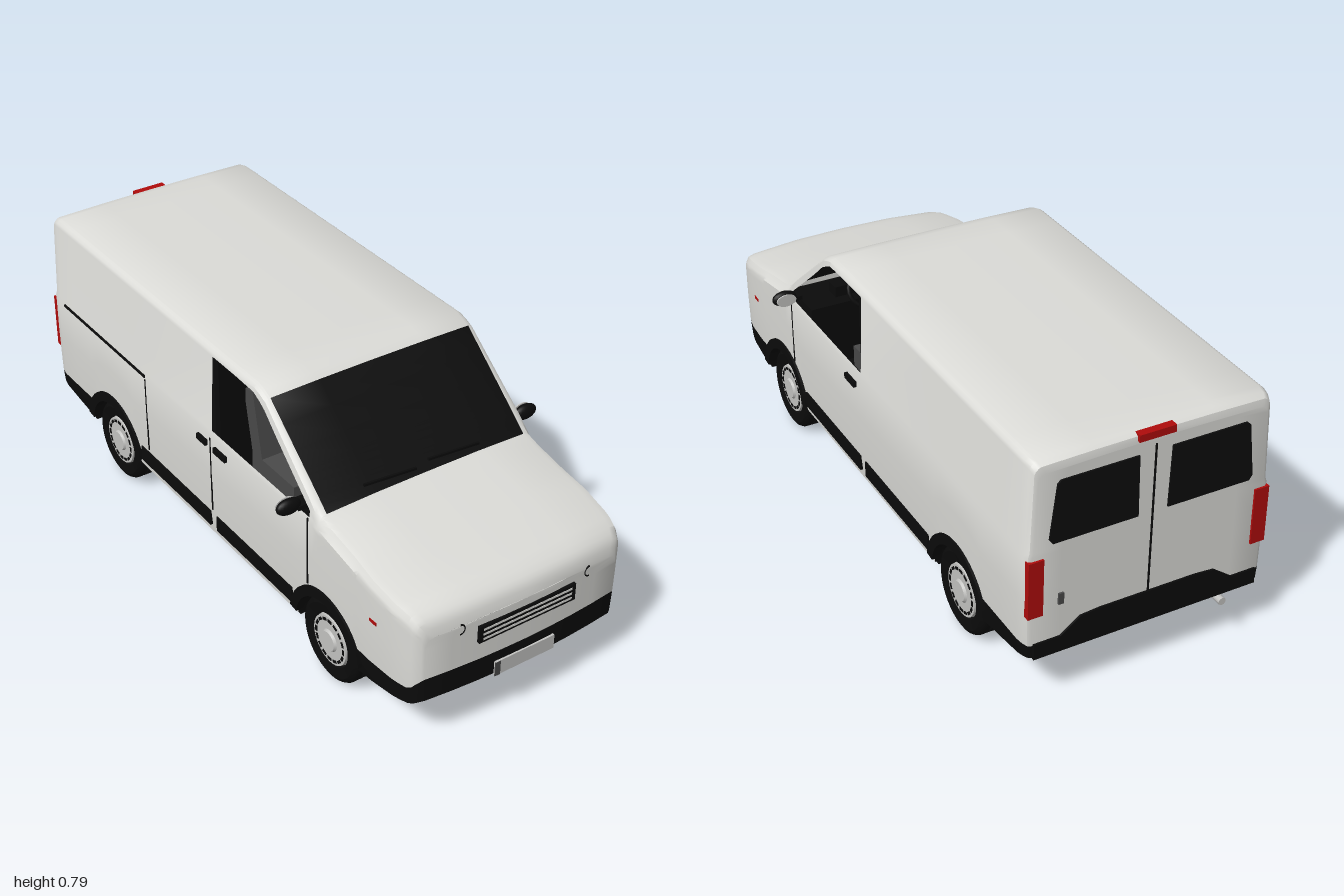
import * as THREE from 'three';
import { toCreasedNormals } from 'three/addons/utils/BufferGeometryUtils.js';

const mat = (name, color, side = THREE.FrontSide) => {
  const m = new THREE.MeshStandardMaterial({ color, side });
  m.name = name;
  return m;
};
const D = THREE.DoubleSide;
const paint = mat('white paint', 0xdcdcd8, D), black = mat('black plastic', 0x0b0b0b, D),
  glass = mat('dark glass', 0x0d0d0d, D), red = mat('red lens', 0xb00c0c),
  silver = mat('silver', 0xc4c4c2), grey = mat('grey fabric', 0x4a4a4a);

// Piecewise linear lookup in [[t, value], ...]
const lerpTable = (table, t) => {
  if (t <= table[0][0]) return table[0][1];
  for (let i = 1; i < table.length; i++) {
    const [a, va] = table[i - 1], [b, vb] = table[i];
    if (t <= b) return va + (vb - va) * (t - a) / (b - a);
  }
  return table[table.length - 1][1];
};

const AXLES = [-0.603, 0.593], HUB_Y = 0.135, ARCH_R = 0.148;
const TOP = [[-0.985, 0.755], [-0.98, 0.775], [-0.965, 0.785], [-0.94, 0.79], [0.22, 0.79], [0.27, 0.775],
  [0.55, 0.545], [0.6, 0.535], [0.93, 0.475], [0.96, 0.465], [0.985, 0.445], [0.995, 0.425], [1, 0.4]];
const WIDTH = [[-0.985, 0.95], [-0.98, 0.975], [-0.965, 0.99], [-0.94, 1], [0.8, 1], [0.9, 0.985],
  [0.95, 0.965], [0.985, 0.925], [1, 0.87]];
const SIDE = [[0.135, 0.366], [0.215, 0.373], [0.3, 0.376], [0.42, 0.377], [0.5, 0.376], [0.515, 0.371], [0.77, 0.361]];
const BASE = [[-0.985, 0.175], [-0.76, 0.135], [0.75, 0.135], [0.97, 0.16], [1, 0.18]];

const bulge = (x, z) => z - 0.025 * (x / 0.37) ** 2 * THREE.MathUtils.clamp((z - 0.8) / 0.2, 0, 1);

// Half cross-section from the sill up to the roof centre line
function section(z) {
  const t = lerpTable(TOP, z), w = lerpTable(WIDTH, z), k = lerpTable([[0.5, 1], [0.6, 2]], z);
  let b = lerpTable(BASE, z);
  for (const a of AXLES) {
    const d = Math.abs(z - a);
    if (d < ARCH_R) b = Math.max(b, HUB_Y + Math.sqrt(ARCH_R ** 2 - d * d));
  }
  const trim = Math.max(b + 0.01, lerpTable([[0.97, 0.215], [1, 0.255]], z));
  const win = Math.min(0.765, t - lerpTable([[0.2, 0.025], [0.3, 0.04]], z));
  const belt = Math.min(0.515, win - 0.002), xr = lerpTable(SIDE, t);
  const rows = [b, trim, (trim + belt) / 2, belt - 0.015, belt, win].map(y => [lerpTable(SIDE, y), y]);
  rows.push([xr - 0.003, t - 0.015 * k], [xr - 0.012, t - 0.007 * k], [0.342, t - 0.004 * k], [0.18, t - 0.001], [0, t]);
  return rows.map(([x, y]) => [x * w, y]);
}

// Body shell lofted along z, with open cab windows and wheel arches
function bodyShell() {
  const zs = [-0.985, -0.98, -0.965, -0.94, -0.85, 0.005, 0.12, 0.22, 0.25, 0.277, 0.34, 0.4, 0.51, 0.55,
    0.8, 0.86, 0.9, 0.93, 0.96, 0.975, 0.985, 0.995, 1];
  for (const a of AXLES) for (let k = 0; k <= 14; k++) zs.push(a + ARCH_R * Math.cos(k * Math.PI / 14));
  zs.sort((p, q) => p - q);
  const pos = [], parts = [[], [], []]; // paint, black, glass
  const quad = (m, a, b, c, d) => parts[m].push(a, b, d, b, c, d);
  const N = 21;
  for (const z of zs) {
    const s = section(z);
    const ring = [...s, ...s.slice(0, -1).reverse().map(([x, y]) => [-x, y])];
    for (const [x, y] of ring) pos.push(x, y, bulge(x, z));
  }
  for (let c = 0; c < zs.length - 1; c++) {
    const mid = (zs[c] + zs[c + 1]) / 2;
    for (let i = 0; i < N; i++) {
      const row = i < 10 ? i : 19 - i;
      if (row === 4 && mid > 0.005 && mid < 0.51) continue;
      let m = 0;
      if (i === 20 || (row === 0 && (mid > 0.76 || mid < -0.77))) m = 1;
      else if (row >= 8 && mid > 0.277 && mid < 0.55) m = 2;
      const j = (i + 1) % N;
      quad(m, c * N + i, c * N + j, (c + 1) * N + j, (c + 1) * N + i);
    }
  }
  // Nose and tail faces
  for (const z of [zs[0], zs[zs.length - 1]]) {
    const start = pos.length / 3, s = section(z);
    for (const [x, y] of s) for (let t = 0; t <= 8; t++) {
      const px = x * (1 - t / 4);
      pos.push(px, y, bulge(px, z));
    }
    for (let r = 0; r < 10; r++) for (let t = 0; t < 8; t++) {
      const a = start + r * 9 + t, m = r === 0 ? 1 : 0;
      if (z > 0) quad(m, a, a + 9, a + 10, a + 1);
      else quad(m, a, a + 1, a + 10, a + 9);
    }
  }
  const g = new THREE.BufferGeometry();
  g.setAttribute('position', new THREE.Float32BufferAttribute(pos, 3));
  g.setIndex(parts.flat());
  let at = 0;
  parts.forEach((p, m) => { g.addGroup(at, p.length, m); at += p.length; });
  return toCreasedNormals(g, 0.6);
}

export function createModel() {
  const van = new THREE.Group();
  van.name = 'van';
  const add = (name, geo, m, x = 0, y = 0, z = 0, parent = van) => {
    const mesh = new THREE.Mesh(geo, m);
    mesh.name = name;
    mesh.position.set(x, y, z);
    parent.add(mesh);
    return mesh;
  };
  const box = (name, m, [w, h, d], [x, y, z], parent) => add(name, new THREE.BoxGeometry(w, h, d), m, x, y, z, parent);
  const poly = pts => new THREE.Shape(pts.map(p => new THREE.Vector2(...p)));
  // Side-profile shape (z, y) extruded across x
  const across = (shape, width) => new THREE.ExtrudeGeometry(shape, { depth: width, bevelEnabled: false, curveSegments: 20 })
    .translate(0, 0, -width / 2).rotateY(-Math.PI / 2);
  const plate = (shape) => new THREE.ExtrudeGeometry(shape, { depth: 0.008, bevelEnabled: false });

  add('body', bodyShell(), [paint, black, glass]);

  // Underbody
  add('chassis', across(poly([[0.955, 0.175], [0.8, 0.135], [0.42, 0.105], [-0.6, 0.105], [-0.95, 0.16],
    [-0.95, 0.3], [0.93, 0.3]]), 0.53), black);
  box('sill', black, [0.69, 0.04, 0.86], [0, 0.125, -0.005]);
  box('silencer', black, [0.13, 0.045, 0.19], [-0.145, 0.0875, -0.575]);
  const bend = (pts) => new THREE.CatmullRomCurve3(pts.map(([y, z]) => new THREE.Vector3(-0.24, y, z)), false, 'catmullrom', 0.15);
  add('exhaustPipe', new THREE.TubeGeometry(bend([[0.09, -0.6], [0.088, -0.83], [0.145, -0.91], [0.15, -0.95]]), 24, 0.011, 10), black);
  add('exhaustTip', new THREE.CylinderGeometry(0.012, 0.012, 0.07, 12).rotateX(Math.PI / 2), silver, -0.24, 0.15, -0.965);

  // Wheels and arch trims
  const tyre = [[0.085, -0.038], [0.116, -0.042], [0.127, -0.036], [0.133, -0.026], [0.133, -0.012], [0.129, -0.01],
    [0.129, -0.006], [0.133, -0.004], [0.133, 0.004], [0.129, 0.006], [0.129, 0.01], [0.133, 0.012], [0.133, 0.026],
    [0.127, 0.036], [0.116, 0.042], [0.085, 0.036]].map(p => new THREE.Vector2(...p));
  const tyreGeo = toCreasedNormals(new THREE.LatheGeometry(tyre, 36).rotateZ(-Math.PI / 2), 0.6);
  const arch = new THREE.Shape();
  arch.absarc(0, 0, 0.17, 0.15, Math.PI - 0.15, false);
  arch.absarc(0, 0, 0.138, Math.PI - 0.15, 0.15, true);
  const archGeo = across(arch, 0.028);
  for (const z of AXLES) for (const s of [1, -1]) {
    const wheel = new THREE.Group();
    wheel.name = 'wheel';
    wheel.position.set(s * 0.322, 0.133, z);
    wheel.rotation.y = s > 0 ? 0 : Math.PI;
    van.add(wheel);
    add('tyre', tyreGeo, black, 0, 0, 0, wheel);
    add('hubcap', new THREE.CylinderGeometry(0.078, 0.09, 0.07, 32).rotateZ(-Math.PI / 2), silver, 0.003, 0, 0, wheel);
    add('hubCentre', new THREE.CylinderGeometry(0.03, 0.036, 0.008, 20).rotateZ(-Math.PI / 2), silver, 0.041, 0, 0, wheel);
    for (let k = 0; k < 16; k++) {
      const a = k * Math.PI / 8;
      box('hubSlot', black, [0.004, 0.009, 0.018], [0.0375, 0.066 * Math.cos(a), 0.066 * Math.sin(a)], wheel).rotation.x = a;
    }
    add('archTrim', archGeo, black, s * 0.368, HUB_Y, z);
  }

  // Parts on both sides
  for (const s of [1, -1]) {
    for (const [a, b] of [[0.02, 0.425], [-0.43, -0.015]])
      box('rubbingStrip', black, [0.012, 0.052, b - a], [s * 0.371, 0.19, (a + b) / 2]);
    box('doorHandle', black, [0.014, 0.018, 0.065], [s * 0.379, 0.465, 0.06]);
    box('doorSeam', black, [0.004, 0.225, 0.005], [s * 0.3757, 0.4, 0.507]);
    box('sideMarker', red, [0.008, 0.01, 0.03], [s * 0.373, 0.362, 0.815]);
    box('tailLight', red, [0.045, 0.18, 0.03], [s * 0.347, 0.4, -0.976]);
    const mirror = new THREE.SphereGeometry(0.04, 20, 14).scale(1, 0.62, 0.45);
    add('mirrorHousing', mirror, black, s * 0.413, 0.545, 0.47);
    add('mirrorGlass', new THREE.CylinderGeometry(0.032, 0.032, 0.004, 20).rotateX(Math.PI / 2).scale(1, 0.62, 1),
      silver, s * 0.413, 0.545, 0.453);
    box('mirrorArm', black, [0.035, 0.014, 0.02], [s * 0.372, 0.535, 0.475]);
    add('headlightMark', new THREE.TorusGeometry(0.016, 0.003, 6, 12, Math.PI).rotateZ(-Math.PI / 2).scale(s < 0 ? 1 : -1, 1, 1),
      grey, s * 0.222, 0.383, 0.99).material = black;
    // Rear door window with a slanted outer corner
    const x = [0.045, 0.3, 0.31, 0.29, 0.28, 0.05], y = [0.53, 0.53, 0.545, 0.71, 0.72, 0.72];
    add('rearWindow', plate(poly(x.map((v, i) => [s * v, y[i]]))), glass, 0, 0, -0.99);
    // Seat with backrest and headrest
    const seat = new THREE.Group();
    seat.name = 'seat';
    seat.position.set(s * 0.17, 0.4, 0.11);
    van.add(seat);
    box('seatCushion', grey, [0.2, 0.07, 0.22], [0, 0, 0.06], seat);
    box('seatBack', grey, [0.2, 0.25, 0.05], [0, 0.12, -0.04], seat).rotation.x = -0.2;
    box('headrest', grey, [0.11, 0.065, 0.035], [0, 0.28, -0.062], seat).rotation.x = -0.2;
  }

  // Sliding door on one side
  box('slidingDoorRail', black, [0.006, 0.008, 0.52], [-0.376, 0.5, -0.64]);
  for (const z of [-0.38, 0.0]) box('slidingDoorSeam', black, [0.003, 0.26, 0.004], [-0.3765, 0.36, z]);
  box('slidingDoorHandle', black, [0.014, 0.018, 0.05], [-0.379, 0.465, -0.04]);

  // Cab interior
  box('bulkhead', black, [0.715, 0.465, 0.025], [0, 0.53, 0.0175]);
  box('dashboard', black, [0.7, 0.21, 0.1], [0, 0.41, 0.46]);
  box('instrumentHood', black, [0.16, 0.04, 0.05], [0.17, 0.53, 0.475]);
  add('steeringWheel', new THREE.TorusGeometry(0.055, 0.007, 8, 24), black, 0.17, 0.55, 0.4).rotation.x = 0.5;

  // Nose details
  box('grille', black, [0.33, 0.055, 0.016], [0, 0.346, 0.997]);
  for (const y of [0.329, 0.345, 0.361]) box('grilleBar', paint, [0.305, 0.007, 0.006], [0, y, 1.003]);
  box('frontPlate', silver, [0.205, 0.047, 0.008], [0, 0.199, 1.001]);
  box('frontPlateBand', grey, [0.018, 0.047, 0.003], [-0.0955, 0.199, 1.005]);
  for (const x of [-0.12, 0.1]) {
    const wiper = box('wiper', black, [0.18, 0.007, 0.007], [x, 0.565, 0.535]);
    wiper.rotation.z = -0.08;
  }

  // Tail details
  const rearBumper = [[-0.35, 0.17], [0.35, 0.17], [0.35, 0.22], [0.27, 0.22], [0.21, 0.265], [0.15, 0.27],
    [-0.15, 0.27], [-0.21, 0.265], [-0.27, 0.22], [-0.35, 0.22]];
  add('rearBumper', plate(poly(rearBumper)), black, 0, 0, -0.991);
  box('rearDoorSeam', black, [0.005, 0.48, 0.006], [0, 0.5, -0.985]);
  box('rearDoorHandle', grey, [0.016, 0.035, 0.008], [0.27, 0.345, -0.987]);
  box('highBrakeLight', red, [0.11, 0.022, 0.03], [0, 0.772, -0.976]);
  return van;
}
